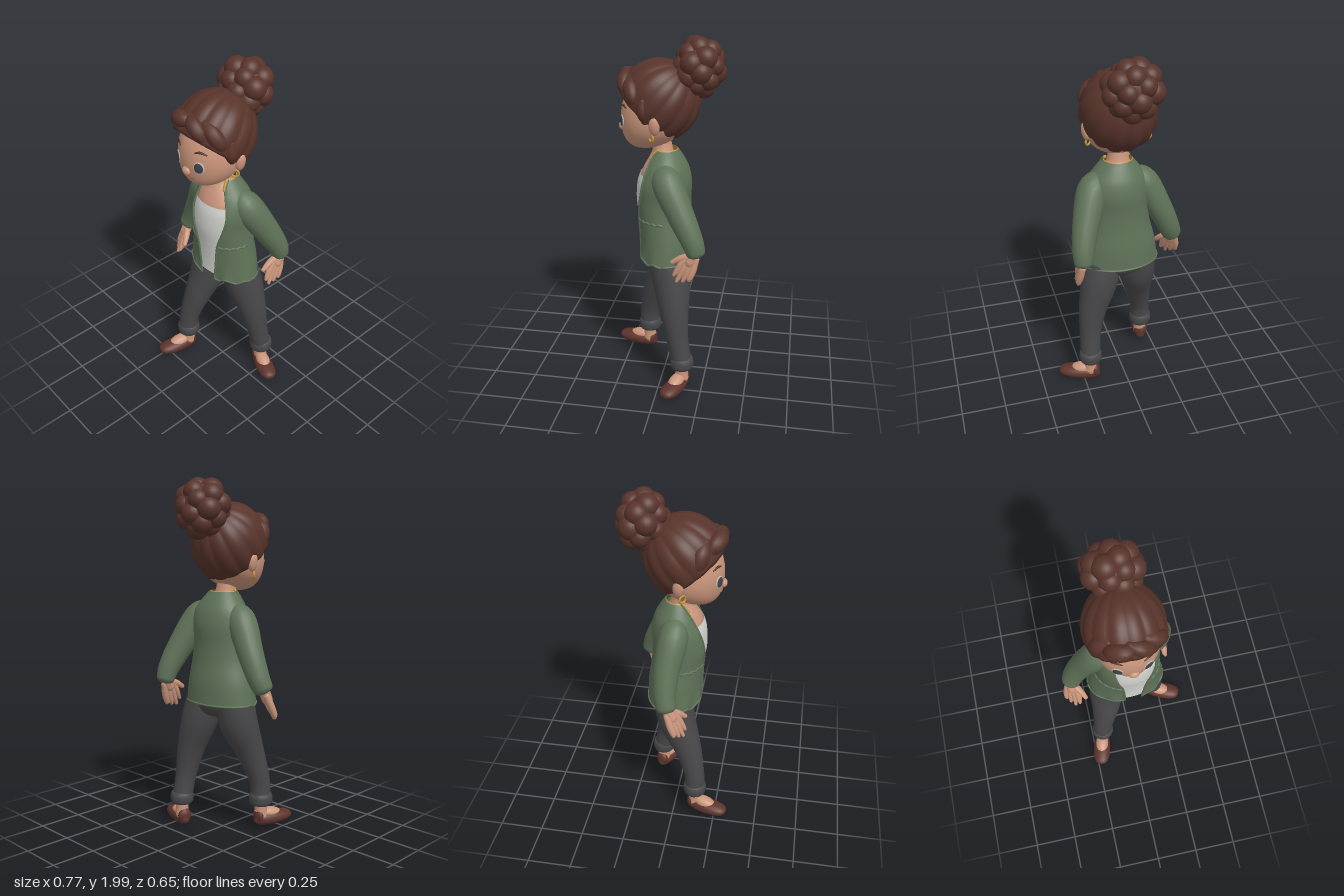
import * as THREE from 'three';

const paint = (name, color, side = THREE.DoubleSide) => {
  const m = new THREE.MeshStandardMaterial({ color, side });
  m.name = name;
  return m;
};
const V = (x, y, z) => new THREE.Vector3(x, y, z);

// Smooth interpolation of key rows (arrays of equal length)
function rows(keys, n) {
  const at = (i) => keys[Math.min(keys.length - 1, Math.max(0, i))];
  return Array.from({ length: n + 1 }, (_, k) => {
    const s = (k / n) * (keys.length - 1), i = Math.min(Math.floor(s), keys.length - 2), t = s - i;
    return at(i).map((b, c) => {
      const a = at(i - 1)[c], d = at(i + 1)[c], e = at(i + 2)[c];
      return 0.5 * (2 * b + (d - a) * t + (2 * a - 5 * b + 4 * d - e) * t * t + (3 * b - a - 3 * d + e) * t ** 3);
    });
  });
}

// Surface through a grid of points
function skinGrid(grid, closed) {
  const w = grid[0].length, idx = [];
  for (let i = 0; i < grid.length - 1; i++)
    for (let j = 0; j < (closed ? w : w - 1); j++) {
      const k = (j + 1) % w, a = i * w + j, b = i * w + k, c = b + w, d = a + w;
      idx.push(a, b, c, a, c, d);
    }
  const g = new THREE.BufferGeometry().setFromPoints(grid.flat());
  g.setIndex(idx);
  g.computeVertexNormals();
  return g;
}

// Tapered round limb through [x, y, z, radius] keys; cap = roundness of its ends
function limbGeo(keys, cap = 1, seg = 16, sides = 16) {
  const r = rows(keys, seg), p = r.map((k) => V(k[0], k[1], k[2]));
  const all = p[seg].clone().sub(p[0]).normalize();
  const ref = Math.abs(all.z) > 0.75 ? V(1, 0, 0) : V(0, 0, 1);
  const ring = (i, k, off) => {
    const t = p[Math.min(seg, i + 1)].clone().sub(p[Math.max(0, i - 1)]).normalize();
    const u = ref.clone().addScaledVector(t, -ref.dot(t)).normalize(), v = t.clone().cross(u);
    const R = Math.max(r[i][3], 0.001);
    return Array.from({ length: sides }, (_, j) => {
      const a = (j / sides) * Math.PI * 2;
      return p[i].clone().addScaledVector(t, off * R * cap)
        .addScaledVector(u, Math.cos(a) * R * k).addScaledVector(v, Math.sin(a) * R * k);
    });
  };
  const grid = [], ends = [1.57, 1.2, 0.8, 0.4];
  ends.forEach((a) => grid.push(ring(0, Math.cos(a), -Math.sin(a))));
  for (let i = 0; i <= seg; i++) grid.push(ring(i, 1, 0));
  ends.reverse().forEach((a) => grid.push(ring(seg, Math.cos(a), Math.sin(a))));
  return skinGrid(grid, true);
}

// Closed elliptical body through [y, cx, cz, rx, rz] keys
function bodyGeo(keys, inset = 0, n = 20) {
  return skinGrid(rows(keys, n).map(([y, cx, cz, rx, rz]) => Array.from({ length: 48 }, (_, j) => {
    const a = (j / 48) * Math.PI * 2;
    return V(cx + (rx - inset) * Math.sin(a), y, cz + (rz - inset) * Math.cos(a));
  })), true);
}

export function createModel() {
  const hair = paint('hair brown', 0x58342b), skin = paint('skin', 0xcb967c), green = paint('jacket green', 0x5f7258);
  const white = paint('shirt white', 0xd3d3cf), grey = paint('trouser grey', 0x48484a), gold = paint('gold', 0xc4933a);
  const leather = paint('shoe brown', 0x5d342c), dark = paint('eye dark', 0x3d454a), lip = paint('lip', 0xa4634f);
  const eyeWhite = paint('eye white', 0xc9bcb2);
  const root = new THREE.Group();
  const add = (name, geo, mat, parent = root) => {
    const m = new THREE.Mesh(geo, mat);
    m.name = name;
    parent.add(m);
    return m;
  };
  const ball = (name, x, y, z, sx, sy, sz, mat, parent = root) => {
    const m = add(name, new THREE.SphereGeometry(1, 24, 16), mat, parent);
    m.position.set(x, y, z);
    m.scale.set(sx, sy, sz);
    return m;
  };
  const limb = (name, keys, mat, cap, seg, sides) => add(name, limbGeo(keys, cap, seg, sides), mat);

  // Trousers, turn-ups and ankles
  add('trouserSeat', bodyGeo([[0.67, 0, -0.03, 0.01, 0.01], [0.7, 0, -0.03, 0.14, 0.09],
    [0.78, 0, -0.02, 0.2, 0.128], [0.9, 0, -0.01, 0.175, 0.115]]), grey);
  limb('rightTrouserLeg', [[-0.1, 0.78, -0.015, 0.112], [-0.118, 0.64, 0.01, 0.108], [-0.145, 0.47, 0.075, 0.081],
    [-0.175, 0.3, 0.122, 0.06], [-0.182, 0.18, 0.128, 0.058]], grey, 0.2, 24, 24);
  limb('leftTrouserLeg', [[0.098, 0.78, -0.03, 0.112], [0.13, 0.64, -0.06, 0.107], [0.177, 0.47, -0.083, 0.082],
    [0.2, 0.3, -0.107, 0.062], [0.207, 0.15, -0.135, 0.059]], grey, 0.2, 24, 24);
  for (const [s, x, y, z] of [['right', -0.182, 0.185, 0.128], ['left', 0.208, 0.163, -0.133]]) {
    limb(s + 'TurnUp', [[x, y - 0.03, z, 0.06], [x, y - 0.015, z, 0.067], [x, y + 0.015, z, 0.068], [x, y + 0.035, z, 0.061]], grey, 0.1);
    limb(s + 'Ankle', [[x, y, z, 0.04], [x, y - 0.06, z, 0.037], [x, y - 0.1, z, 0.04]], skin);
  }

  // Flat blunt-toed shoes with the instep showing
  for (const [s, x, y, z, turn] of [['right', -0.205, 0.03, 0.205, -0.245], ['left', 0.27, 0.003, -0.104, 1.19]]) {
    const foot = new THREE.Group();
    foot.name = s + 'Foot';
    foot.position.set(x, y, z);
    foot.rotation.y = turn;
    root.add(foot);
    const g = new THREE.SphereGeometry(1, 32, 24), p = g.attributes.position;
    for (let i = 0; i < p.count; i++) {
      const f = p.getZ(i), full = Math.max(0.05, Math.hypot(p.getX(i), p.getY(i))) ** -0.3;
      p.setXYZ(i, p.getX(i) * full * (0.053 + 0.008 * f), Math.max(0, 0.033 + p.getY(i) * full * (0.042 - 0.005 * f)), f * 0.125);
    }
    g.computeVertexNormals();
    add('shoe', g, leather, foot);
    ball('instep', 0, 0.06, -0.012, 0.04, 0.034, 0.073, skin, foot).rotation.x = 0.2;
    ball('heelTab', 0, 0.055, -0.098, 0.04, 0.042, 0.025, leather, foot);
  }

  // Jacket: [y, cx, cz, rx, rz, right edge x, left edge x]
  const torso = [[0.765, 0, -0.016, 0.226, 0.157, -0.03, 0.072], [0.88, 0, -0.014, 0.21, 0.155, -0.035, 0.085],
    [1.0, 0.005, 0, 0.187, 0.152, -0.045, 0.1], [1.1, 0.005, 0.01, 0.18, 0.156, -0.065, 0.13],
    [1.2, 0.01, 0.005, 0.18, 0.155, -0.085, 0.148], [1.28, 0.01, -0.005, 0.163, 0.129, -0.085, 0.125],
    [1.34, 0.005, -0.005, 0.122, 0.098, -0.082, 0.092], [1.385, 0, -0.002, 0.082, 0.07, -0.074, 0.074]];
  const wrap = (r, inset, raise = 0) => {
    const [y, cx, cz, rx, rz, xr, xl] = r, a = Math.asin((xl - cx) / rx), b = Math.PI * 2 + Math.asin((xr - cx) / rx);
    return Array.from({ length: 73 }, (_, j) => {
      const t = a + ((b - a) * j) / 72, front = Math.max(0, Math.cos(t) + 0.2), low = Math.max(0, 1 - (y - 0.765) / 0.1);
      const wave = low * 0.014 * front * Math.sin(t * 11);
      return V(cx + (rx - inset) * Math.sin(t), y + raise + wave, cz + (rz - inset) * Math.cos(t) + wave * 0.5);
    });
  };
  const shell = rows(torso, 42).map((r) => wrap(r, 0));
  add('jacketBody', skinGrid(shell, false), green);
  for (const [s, j] of [['left', 0], ['right', 72]]) {
    limb(s + 'JacketEdge', shell.filter((_, i) => i % 3 === 0).map((row) => [...row[j].toArray(), 0.006]), green, 1, 42, 8);
    const seam = shell[12].slice(j ? 57 : 0, j ? 73 : 16);
    limb(s + 'WaistGather', seam.map((p, i) => [p.x, p.y + 0.004 * Math.sin(i * 2), p.z, 0.007]), green, 1, 30, 8);
  }
  limb('jacketHem', shell[0].filter((_, j) => j % 2 === 0).map((p) => [...p.toArray(), 0.006]), green, 1, 72, 8);

  // Gold lining at the neck, showing most at the front of the collar
  const collar = rows(torso.slice(-2), 6).map((r) => wrap(r, 0.005, 0.004));
  add('collarLining', skinGrid(collar, false), gold);
  for (const [s, j] of [['left', 0], ['right', 72]])
    limb(s + 'CollarFacing', collar.map((row) => [row[j].x * 0.95, row[j].y, row[j].z + 0.002, 0.01]), gold, 1, 8, 8);

  // Shirt, chest and neck
  add('shirt', bodyGeo([[0.79, ...torso[0].slice(1, 5)], ...torso.slice(1, 5), [1.255, 0.01, 0.006, 0.168, 0.137]], 0.007), white);
  add('chestAndNeck', bodyGeo([[1.2, 0.01, 0.008, 0.16, 0.134], [1.255, 0.01, 0.004, 0.152, 0.126], [1.3, 0.005, 0.008, 0.125, 0.102],
    [1.345, 0, 0.012, 0.083, 0.073], [1.385, -0.005, 0.016, 0.06, 0.056], [1.47, -0.01, 0.03, 0.056, 0.054]]), skin);

  // Sleeves
  limb('rightSleeve', [[-0.075, 1.29, -0.005, 0.045], [-0.145, 1.23, -0.005, 0.082], [-0.238, 1.06, -0.028, 0.072],
    [-0.293, 0.94, -0.028, 0.063], [-0.319, 0.875, -0.015, 0.056]], green, 0.5, 24, 20);
  limb('leftSleeve', [[0.085, 1.29, -0.01, 0.045], [0.152, 1.235, -0.035, 0.084], [0.216, 1.07, -0.125, 0.074],
    [0.247, 0.95, -0.187, 0.062], [0.254, 0.88, -0.212, 0.052]], green, 0.5, 24, 20);

  // Hands: wrist point, finger direction, and direction towards the thumb
  const hand = (s, wrist, dir, toThumb) => {
    dir.normalize();
    toThumb.addScaledVector(dir, -toThumb.dot(dir)).normalize();
    const at = (d, t, r) => [...wrist.clone().addScaledVector(dir, d).addScaledVector(toThumb, t).toArray(), r];
    limb(s + 'Wrist', [at(-0.04, 0, 0.032), at(0.035, 0, 0.03)], skin);
    for (let f = 0; f < 4; f++) {
      const k = f - 1.5, len = 0.168 - 0.011 * Math.abs(k - 0.4) * 2;
      limb(s + 'Finger', [at(0.005, k * 0.014, 0.02), at(0.07, k * 0.024, 0.02), at(0.12, k * 0.027, 0.0155), at(len, k * 0.029, 0.01)], skin, 1, 10, 10);
    }
    limb(s + 'Thumb', [at(0.0, 0.01, 0.02), at(0.04, 0.052, 0.019), at(0.085, 0.084, 0.013)], skin, 1, 10, 10);
  };
  hand('right', V(-0.322, 0.845, 0.0), V(-0.01, -0.145, 0.07), V(0.8, 0, 0.55));
  hand('left', V(0.258, 0.86, -0.195), V(0.015, -0.115, 0.055), V(-0.15, 0.3, 1));

  // Head: rounder above, chin narrower and pushed forward
  const shape = (ux, uy, uz) => V(-0.01 + 0.176 * ux, 1.56 + (uy > 0 ? 0.23 : 0.175) * uy, 0.06 + 0.185 * uz + (uy < 0 ? 0.06 * uy * uy : 0));
  const headGeo = new THREE.SphereGeometry(1, 40, 30), hp = headGeo.attributes.position;
  for (let i = 0; i < hp.count; i++) hp.setXYZ(i, ...shape(hp.getX(i), hp.getY(i), hp.getZ(i)).toArray());
  headGeo.computeVertexNormals();
  add('head', headGeo, skin);
  const faceZ = (x, y) => {
    const u = (x + 0.01) / 0.176, v = (y - 1.56) / (y > 1.56 ? 0.23 : 0.175);
    return shape(u, v, Math.sqrt(Math.max(0, 1 - u * u - v * v))).z;
  };
  const line = (name, pts, mat) => limb(name, pts.map(([x, y, r]) => [x, y, faceZ(x, y), r]), mat, 1, 14, 8);

  // Face and ears
  ball('nose', -0.007, 1.503, faceZ(0, 1.5), 0.028, 0.024, 0.02, skin);
  line('mouth', [[-0.058, 1.474, 0.002], [-0.035, 1.464, 0.004], [-0.008, 1.46, 0.005], [0.02, 1.464, 0.004], [0.043, 1.474, 0.002]], lip);
  for (const [s, m] of [['right', -1], ['left', 1]]) {
    const X = (d) => -0.008 + m * d, ex = X(0.08), ez = faceZ(ex, 1.547);
    for (const [n, r, out, mat] of [['Eye', 0.031, 0, eyeWhite], ['Iris', 0.026, 0.003, dark]])
      ball(s + n, ex, 1.547, ez + out, r, r * 1.12, 0.006, mat).rotation.y = m * 0.45;
    line(s + 'Eyebrow', [[X(0.055), 1.626, 0.004], [X(0.08), 1.633, 0.007], [X(0.108), 1.624, 0.004]], hair);
    ball(s + 'Ear', -0.013 + m * 0.184, 1.55, 0.03, 0.022, 0.052, 0.03, skin).rotation.z = -m * 0.15;
    const ring = add(s + 'Earring', new THREE.TorusGeometry(0.02, 0.006, 10, 24), gold);
    ring.position.set(-0.015 + m * 0.168, 1.482, 0.05);
    ring.rotation.y = m * 0.7;
  }

  // Swept-back hair: ridged cap whose pole points at the bun
  const arc = [new THREE.Vector2(0.15, -0.085)];
  for (let i = 0; i <= 28; i++) {
    const a = (1 - i / 28) * 1.97;
    arc.push(new THREE.Vector2(Math.max(0.0001, 0.222 * Math.sin(a)), 0.222 * Math.cos(a)));
  }
  const cap = new THREE.LatheGeometry(arc, 144), cp = cap.attributes.position;
  for (let i = 0; i < cp.count; i++) {
    const x = cp.getX(i), z = cp.getZ(i), a = Math.atan2(x, z), k = 0.98 + 0.04 * Math.abs(Math.sin(a * 7 + 0.4));
    cp.setXYZ(i, x * k * 0.94, cp.getY(i) * 1.02, z * k);
  }
  cap.rotateX(-0.7);
  cap.translate(-0.015, 1.65, 0.035);
  cap.computeVertexNormals();
  add('hairCap', cap, hair);

  // Curled fringe parted along an arched hairline
  const curls = [
    [[0, 1.775, 0.2, 0.025], [-0.05, 1.778, 0.222, 0.042], [-0.1, 1.757, 0.2, 0.045], [-0.13, 1.73, 0.175, 0.025]],
    [[-0.11, 1.77, 0.15, 0.03], [-0.152, 1.728, 0.14, 0.046], [-0.172, 1.675, 0.125, 0.04], [-0.165, 1.64, 0.125, 0.022]],
    [[-0.18, 1.67, 0.07, 0.03], [-0.187, 1.62, 0.062, 0.034], [-0.18, 1.575, 0.06, 0.022]],
    [[-0.02, 1.79, 0.2, 0.025], [0.025, 1.772, 0.215, 0.04], [0.065, 1.737, 0.21, 0.038], [0.09, 1.705, 0.195, 0.022]],
    [[0.07, 1.77, 0.17, 0.03], [0.112, 1.738, 0.165, 0.043], [0.142, 1.69, 0.145, 0.04], [0.135, 1.655, 0.145, 0.022]],
    [[0.15, 1.68, 0.09, 0.035], [0.162, 1.62, 0.09, 0.036], [0.158, 1.575, 0.08, 0.022]]];
  curls.forEach((c) => limb('fringeCurl', c, hair, 1, 16, 14));

  // Bun of large round curls spread evenly over a ball
  ball('bunCore', -0.025, 1.835, -0.18, 0.135, 0.135, 0.12, hair);
  for (let i = 0; i < 24; i++) {
    const y = 1 - (2 * i + 1) / 24, r = Math.sqrt(1 - y * y), a = i * 2.39996;
    const size = 0.06 + 0.005 * Math.sin(i * 1.7);
    ball('bunCurl', -0.025 + 0.108 * r * Math.cos(a), 1.835 + 0.106 * y, -0.18 + 0.088 * r * Math.sin(a), size, size, size, hair);
  }
  return root;
}
